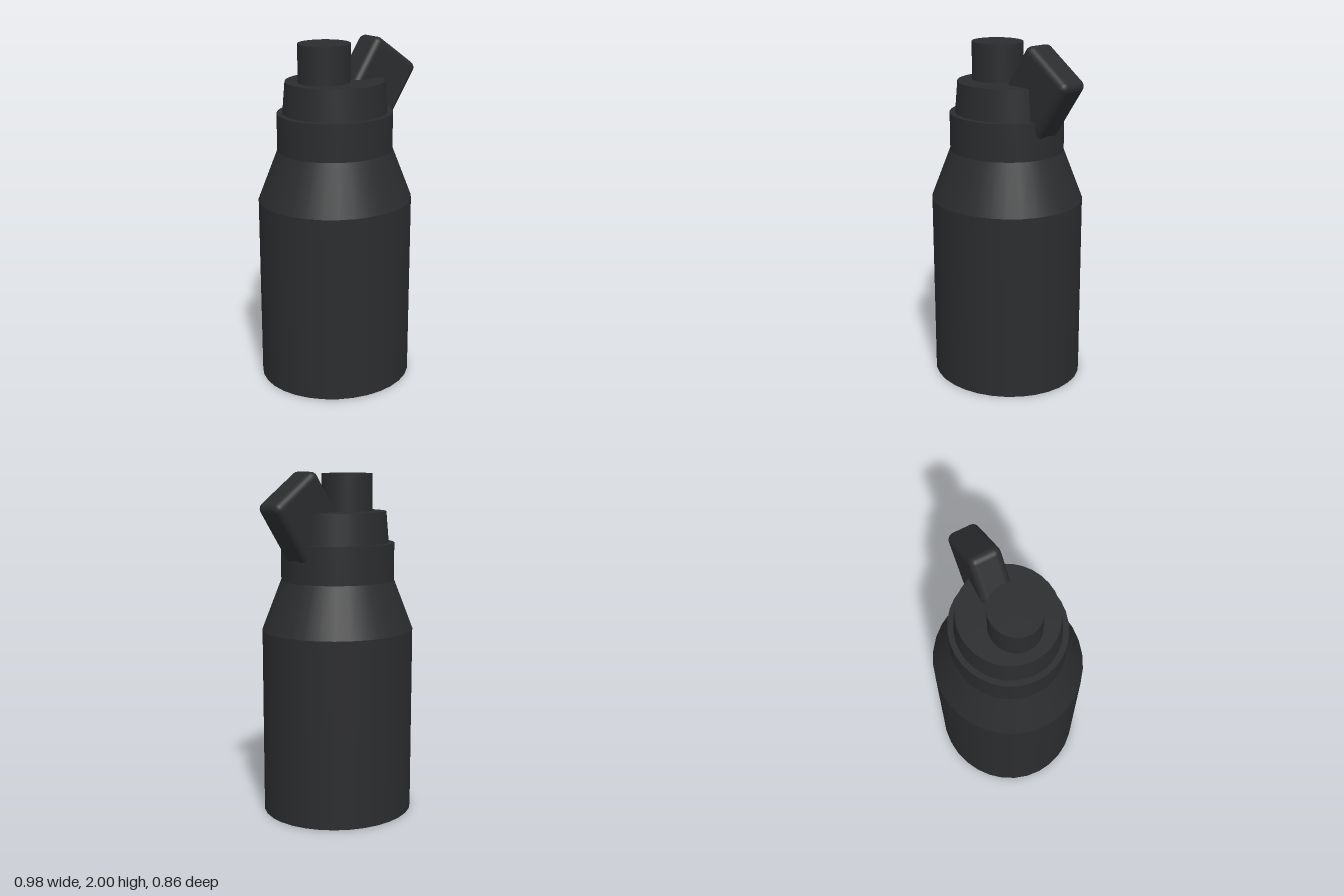
import * as THREE from 'three';
import { RoundedBoxGeometry } from 'three/addons/geometries/RoundedBoxGeometry.js';

const AXIS_X = -0.042; // bottle axis, offset because the lever sticks out to one side

export function createModel() {
  const group = new THREE.Group();
  const material = new THREE.MeshStandardMaterial({ color: 0x2b2c2e });

  const add = (name, geometry) => {
    const mesh = new THREE.Mesh(geometry, material);
    mesh.name = name;
    group.add(mesh);
    return mesh;
  };

  // Slightly oval round section between two heights
  const section = (name, rBottom, rTop, y0, y1, { x = AXIS_X, depth = 0.95, open = false, sides = 32 } = {}) => {
    const mesh = add(name, new THREE.CylinderGeometry(rTop, rBottom, y1 - y0, sides, 1, open));
    mesh.position.set(x, (y0 + y1) / 2, 0);
    mesh.scale.z = depth;
    return mesh;
  };

  // Bottle
  section('body', 0.453, 0.453, 0, 1.09);
  section('shoulder', 0.453, 0.338, 1.09, 1.38, { open: true });
  section('neck', 0.338, 0.338, 1.38, 1.595);

  // Lid: tapered collar with an off-centre spout
  section('lidCollar', 0.305, 0.289, 1.59, 1.775);
  section('spout', 0.151, 0.151, 1.77, 1.99, { x: -0.118 });

  // Tilted rounded lever set into the side of the lid
  const lever = add('lidLever', new RoundedBoxGeometry(0.36, 0.42, 0.18, 4, 0.04));
  lever.position.set(0.237, 1.742, 0);
  lever.rotation.z = -THREE.MathUtils.degToRad(34.5);

  return group;
}
